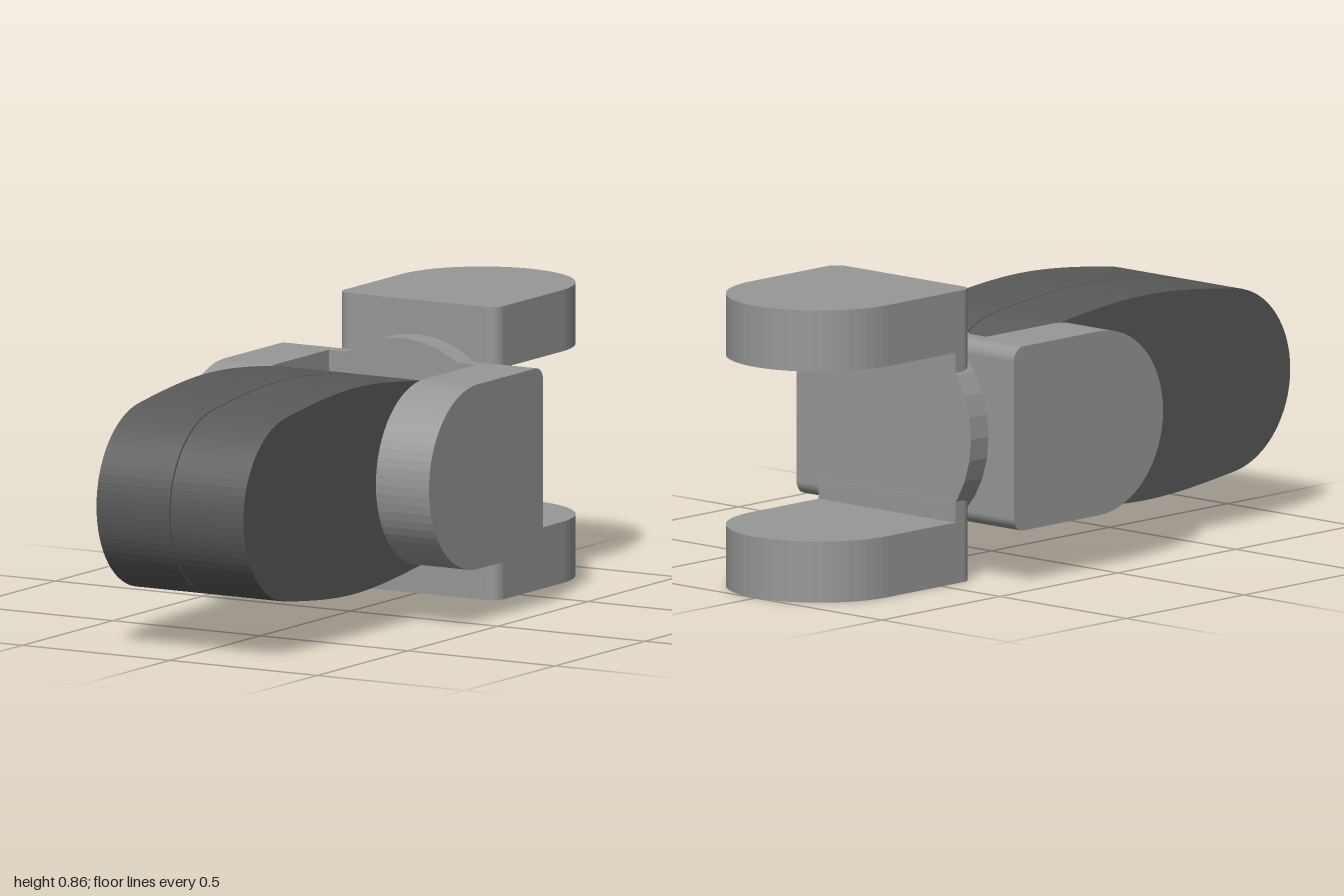
import * as THREE from 'three';

const MID_Y = 0.43;   // height of the joint axis
const BASE = -0.361;  // flat base of a fork, measured from its pivot
const R = 0.271;      // half width and tip radius of a fork arm

const grey = new THREE.MeshStandardMaterial({ color: 0x979797 });
const dark = new THREE.MeshStandardMaterial({ color: 0x595959 });

function mesh(name, geometry, material) {
  const m = new THREE.Mesh(geometry, material);
  m.name = name;
  return m;
}

// Extrudes a side profile (x = forward, y = up) from x = start towards -x
function extrudeSide(shape, start, depth, steps = 1) {
  return new THREE.ExtrudeGeometry(shape, { depth, steps, bevelEnabled: false, curveSegments: 16 })
    .rotateY(-Math.PI / 2)
    .translate(start, 0, 0);
}

// Base edge shared by arm and foot, with softened corners
function addBase(s) {
  const c = 0.04;
  s.lineTo(BASE + c, R);
  s.absarc(BASE + c, R - c, c, Math.PI / 2, Math.PI);
  s.lineTo(BASE, -R + c);
  s.absarc(BASE + c, -R + c, c, Math.PI, Math.PI * 1.5);
  return s;
}

// Arm outline with a round tip
function armShape() {
  const s = new THREE.Shape();
  s.moveTo(BASE + 0.04, -R);
  s.lineTo(0, -R);
  s.absarc(0, 0, R, -Math.PI / 2, Math.PI / 2);
  return addBase(s);
}

// Foot under the arm that steps inwards, its inner base edge rounded over
function footGeometry() {
  const c = 0.04, front = -0.286;
  const s = new THREE.Shape();
  s.moveTo(BASE + c, -R);
  s.lineTo(front, -R);
  s.lineTo(front, R);
  const g = extrudeSide(addBase(s), -0.19, 0.06, 12);
  const p = g.attributes.position;
  for (let i = 0; i < p.count; i++) {
    const t = Math.max(0, -p.getX(i) - 0.19);
    if (t >= c) continue;
    const limit = BASE + c - Math.sqrt(c * c - (c - t) ** 2);
    p.setZ(i, Math.max(p.getZ(i), limit));
  }
  g.computeVertexNormals();
  return g;
}

// Two facing arms
function makeFork(name) {
  const fork = new THREE.Group();
  fork.name = name;
  const arm = extrudeSide(armShape(), -0.25, 0.18);
  const foot = footGeometry();
  for (const turn of [0, Math.PI]) {
    const side = new THREE.Group();
    side.name = 'forkSide';
    side.add(mesh('forkArm', arm, grey), mesh('forkFoot', foot, grey));
    side.rotation.z = turn;
    fork.add(side);
  }
  return fork;
}

// Link outline: round ends with gently bulging top and bottom
function linkShape(inset) {
  const r = 0.272 - inset, h = 0.302 - inset;
  const z0 = 0.047, z1 = 0.728, zm = (z0 + z1) / 2;
  const a = 1.4; // the end arcs stop short of the vertical
  const dx = r * Math.cos(a), dy = r * Math.sin(a);
  const s = new THREE.Shape();
  s.absarc(z1, 0, r, -a, a);
  s.bezierCurveTo(z1 - 0.1, dy + 0.02, zm + 0.12, h, zm, h);
  s.bezierCurveTo(zm - 0.12, h, z0 + 0.1, dy + 0.02, z0 - dx, dy);
  s.absarc(z0, 0, r, Math.PI - a, Math.PI + a);
  s.bezierCurveTo(z0 + 0.1, -dy - 0.02, zm - 0.12, -h, zm, -h);
  s.bezierCurveTo(zm + 0.12, -h, z1 - 0.1, -dy - 0.02, z1 + dx, -dy);
  return s;
}

// Two halves with a fine seam between them, closed by a slightly smaller core
function makeLink() {
  const link = new THREE.Group();
  link.name = 'link';
  const half = extrudeSide(linkShape(0), -0.002, 0.247);
  for (const turn of [0, Math.PI]) {
    const m = mesh('linkHalf', half, dark);
    m.rotation.z = turn;
    link.add(m);
  }
  link.add(mesh('linkCore', extrudeSide(linkShape(0.006), 0.004, 0.008), dark));
  return link;
}

export function createModel() {
  const model = new THREE.Group();
  model.name = 'swivelJoint';

  // Round plate joining the two forks
  const disc = new THREE.CylinderGeometry(0.33, 0.33, 0.15, 32)
    .rotateX(Math.PI / 2).toNonIndexed();
  disc.computeVertexNormals();
  const plate = mesh('swivelPlate', disc, grey);
  plate.position.set(0, MID_Y, -0.365);

  // Front fork holds the link, rear fork is turned a quarter and faces back
  const front = makeFork('frontFork');
  front.position.set(0, MID_Y + 0.002, -0.004);
  const rear = makeFork('rearFork');
  rear.rotation.set(0, Math.PI, Math.PI / 2);
  rear.position.set(0, MID_Y, -0.729);

  const link = makeLink();
  link.position.y = MID_Y;
  model.add(plate, front, rear, link);
  return model;
}
